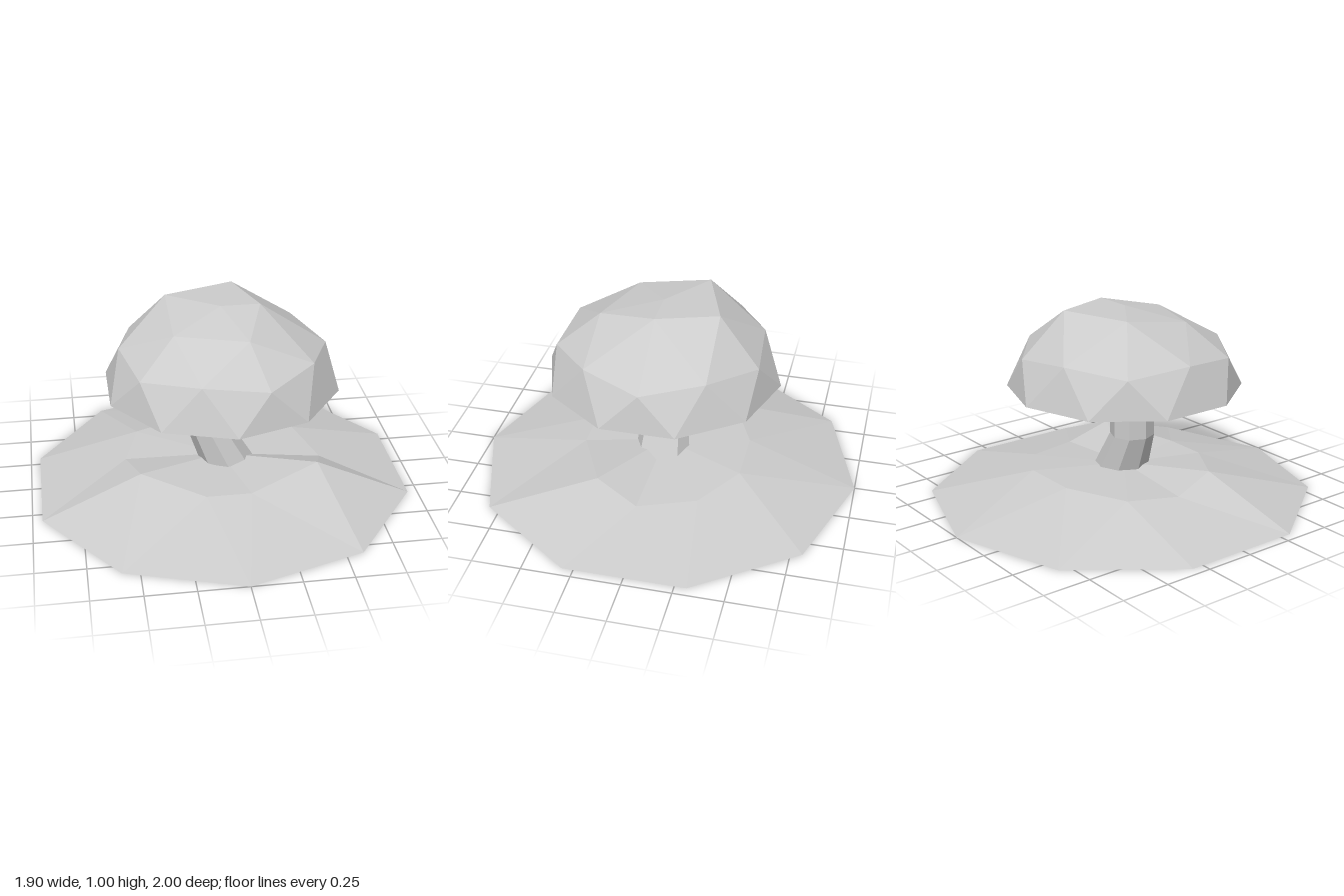
import * as THREE from 'three';

const grey = () => new THREE.MeshStandardMaterial({ color: 0xcccccc, flatShading: true });
const polar = (deg, r, y, cz = 0) => {
  const a = THREE.MathUtils.degToRad(deg);
  return [r * Math.cos(a), y, cz + r * Math.sin(a)];
};

// Turns a list of three-corner faces into a named, faceted mesh
function facetMesh(name, faces) {
  const geo = new THREE.BufferGeometry();
  geo.setAttribute('position', new THREE.Float32BufferAttribute(faces.flat(2), 3));
  geo.computeVertexNormals();
  const mesh = new THREE.Mesh(geo, grey());
  mesh.name = name;
  return mesh;
}

// Faces of half an icosphere; nudges shift single vertices of the upper ring
function halfIcosphere(radius, height, baseY, nudges = {}) {
  const cz = 0.025;
  const at = (deg, r, h) => polar(deg, r * radius, baseY + h * height, cz);
  const apex = at(0, 0, 1);
  const upper = [], middle = [], rim = [], faces = [];
  for (let k = 0; k < 5; k++) upper.push(nudges[k] ?? at(72 * k, 0.526, 0.851));
  for (let j = 0; j < 10; j++) {
    middle.push(j % 2 ? at(36 * j, 0.851, 0.526) : at(36 * j, 0.894, 0.447));
    rim.push(at(18 + 36 * j, 1, 0));
  }
  for (let k = 0; k < 5; k++) {
    const a = upper[k], b = upper[(k + 1) % 5];
    const m0 = middle[(2 * k + 9) % 10], m1 = middle[2 * k], m2 = middle[2 * k + 1];
    faces.push([apex, b, a], [a, b, m2], [a, m2, m1], [a, m1, m0]);
  }
  for (let j = 0; j < 10; j++) {
    faces.push([middle[j], middle[(j + 1) % 10], rim[j]]);
    faces.push([middle[j], rim[j], rim[(j + 9) % 10]]);
  }
  return faces;
}

// Ten-sided mound with an uneven crest ring
function createMound() {
  const crest = [
    [0.53, 0.1, 0.045], [0.47, 0.195, 0.26], [0.1, 0.145, 0.43], [-0.13, 0.145, 0.43],
    [-0.44, 0.185, 0.23], [-0.5, 0.13, -0.02], [-0.42, 0.145, -0.28], [-0.1, 0.145, -0.42],
    [0.2, 0.145, -0.42], [0.44, 0.12, -0.25],
  ];
  const edge = crest.map((_, i) => polar(18 + 36 * i, 1, 0));
  const top = [0, 0.148, 0.02], bottom = [0, 0, 0];
  const faces = [];
  for (let i = 0; i < 10; i++) {
    const n = (i + 1) % 10;
    faces.push([top, crest[n], crest[i]], [edge[i], crest[i], crest[n]]);
    faces.push([edge[i], crest[n], edge[n]], [bottom, edge[i], edge[n]]);
  }
  return facetMesh('mound', faces);
}

// Bent eight-sided stem: each row of the cylinder follows one section
function createStem() {
  const sections = [ // y, centre x, radius
    [0.77, 0, 0.14], [0.5, -0.065, 0.115], [0.33, -0.065, 0.115], [0.1, 0.043, 0.147],
  ];
  const geo = new THREE.CylinderGeometry(1, 1, 1, 8, sections.length - 1, true);
  const pos = geo.attributes.position;
  for (let i = 0; i < pos.count; i++) {
    const [y, cx, r] = sections[Math.floor(i / 9)];
    pos.setXYZ(i, cx + pos.getX(i) * r, y, 0.025 + pos.getZ(i) * r);
  }
  geo.computeVertexNormals();
  const stem = new THREE.Mesh(geo, grey());
  stem.name = 'stem';
  return stem;
}

export function createModel() {
  const model = new THREE.Group();
  model.name = 'mushroom';

  // Cap with a flattened back of the crown, and its shallow hollow underside
  const flattened = { 0: [0.2, 1, 0.025], 3: [-0.26, 0.998, -0.16], 4: [0.1, 1, -0.28] };
  const cap = facetMesh('cap', halfIcosphere(0.607, 0.42, 0.58, flattened));
  const hollow = halfIcosphere(0.607, 0.19, 0.58).map(([a, b, c]) => [a, c, b]);
  const underside = facetMesh('capUnderside', hollow);

  model.add(createMound(), createStem(), cap, underside);
  return model;
}
